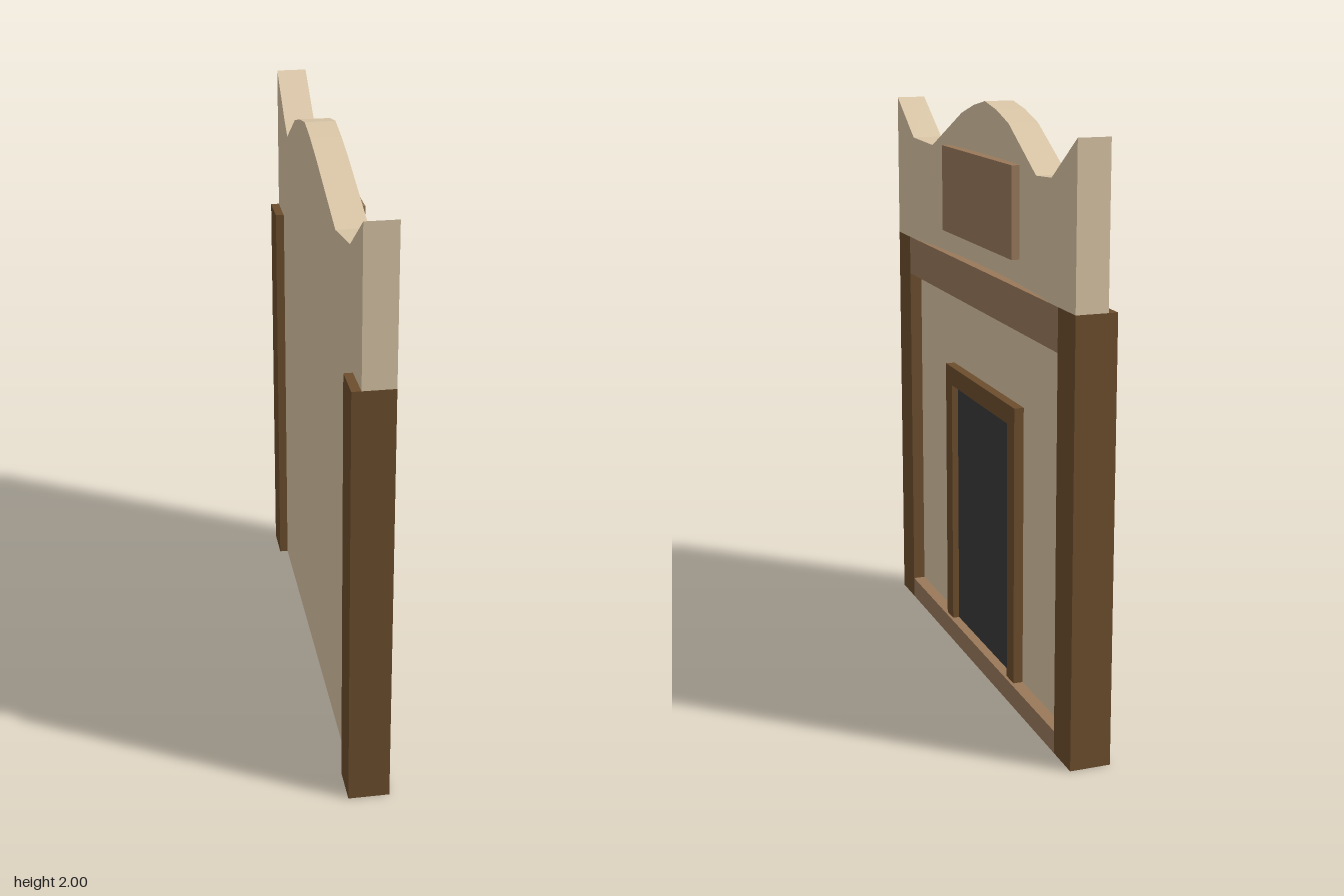
import * as THREE from 'three';

const mat = (name, color) => {
  const m = new THREE.MeshStandardMaterial({ color });
  m.name = name;
  return m;
};

// Solid lofted along z from rectangular sections [z, top, back x, front x]
function loft(sections, bottom) {
  const pos = [];
  const rings = sections.map(([z, top, back, front]) =>
    [[front, bottom, z], [front, top, z], [back, top, z], [back, bottom, z]]);
  const quad = (a, b, c, d) => pos.push(...a, ...b, ...c, ...a, ...c, ...d);
  for (let i = 0; i < rings.length - 1; i++) {
    for (let k = 0; k < 4; k++) {
      const n = (k + 1) % 4;
      quad(rings[i][k], rings[i][n], rings[i + 1][n], rings[i + 1][k]);
    }
  }
  quad(...rings[rings.length - 1]);
  quad(...[...rings[0]].reverse());
  const g = new THREE.BufferGeometry();
  g.setAttribute('position', new THREE.Float32BufferAttribute(pos, 3));
  g.computeVertexNormals();
  return g;
}

export function createModel() {
  const group = new THREE.Group();
  const plaster = mat('cream plaster', 0xd9c5a6);
  const trim = mat('brown trim', 0x9a795a);
  const timber = mat('dark timber', 0x6c4e2d);
  const doorGrey = mat('charcoal door', 0x3a3a3a);

  const add = (name, geometry, material) => {
    const mesh = new THREE.Mesh(geometry, material);
    mesh.name = name;
    group.add(mesh);
  };
  // Box given by its limits on each axis
  const box = (name, material, [x0, x1], [y0, y1], [z0, z1]) => {
    const g = new THREE.BoxGeometry(x1 - x0, y1 - y0, z1 - z0);
    g.translate((x0 + x1) / 2, (y0 + y1) / 2, (z0 + z1) / 2);
    add(name, g, material);
  };

  // Wall, with the facade facing +x
  box('wall', plaster, [-0.04, 0.022], [0, 1.445], [-0.74, 0.74]);

  // Wavy parapet, bowed backwards in the middle
  const half = [
    [0, 2, -0.07, 0.03],
    [0.11, 1.98, -0.07, 0.03],
    [0.23, 1.945, -0.069, 0.032],
    [0.51, 1.81, -0.056, 0.047],
    [0.68, 1.823, -0.042, 0.065],
    [0.875, 1.957, -0.04, 0.065],
  ];
  const mirrored = half.slice(1).reverse().map(([z, ...rest]) => [-z, ...rest]);
  add('parapet', loft([...mirrored, ...half], 1.445), plaster);

  // Corner posts
  box('leftPost', timber, [-0.07, 0.065], [0, 1.445], [-0.875, -0.74]);
  box('rightPost', timber, [-0.07, 0.065], [0, 1.445], [0.74, 0.875]);

  // Horizontal trim and sign board
  box('lintelBeam', trim, [0.02, 0.065], [1.305, 1.445], [-0.74, 0.74]);
  box('baseBoard', trim, [0.02, 0.065], [0, 0.075], [-0.74, 0.74]);
  box('signBoard', trim, [0.028, 0.065], [1.525, 1.825], [-0.347, 0.347]);

  // Door and its frame
  box('door', doorGrey, [0.02, 0.032], [0.075, 0.97], [-0.285, 0.285]);
  for (const s of [-1, 1]) {
    const z = [s * 0.285, s * 0.35].sort((a, b) => a - b);
    box('doorJamb', timber, [0.02, 0.055], [0.075, 0.97], z);
  }
  box('doorHead', timber, [0.02, 0.055], [0.97, 1.037], [-0.35, 0.35]);

  return group;
}
